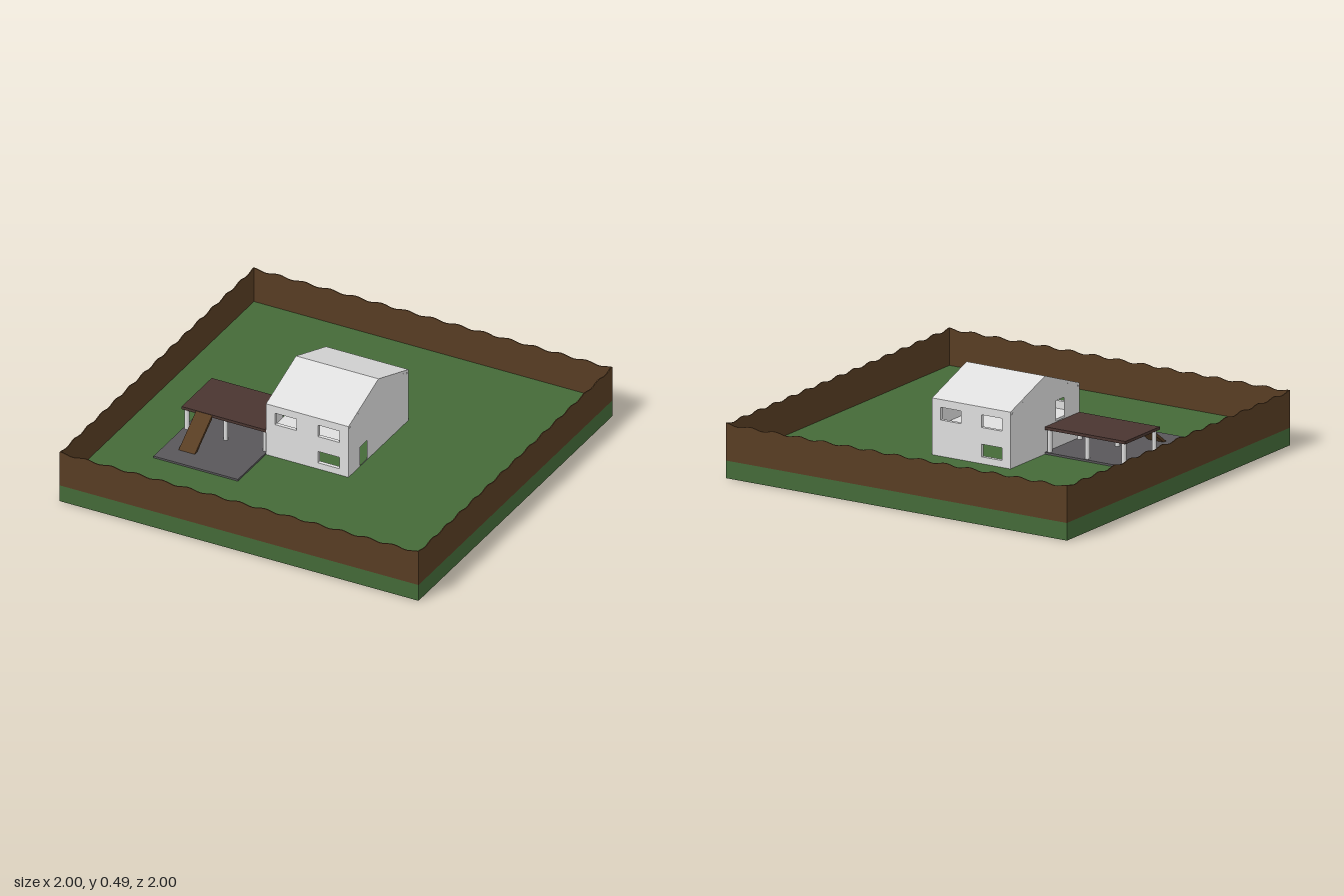
import * as THREE from 'three';

const mat = (name, color) => Object.assign(new THREE.MeshStandardMaterial({ color }), { name });

export function createModel() {
  const grass = mat('grass green', 0x446a38);
  const wood = mat('brown wood', 0x583d23);
  const plaster = mat('light grey plaster', 0xdedede);
  const deckBrown = mat('dark brown deck', 0x4a3530);
  const concrete = mat('dark concrete', 0x59575a);

  const model = new THREE.Group();
  model.name = 'houseInGarden';

  const add = (parent, name, geometry, material) => {
    const mesh = new THREE.Mesh(geometry, material);
    mesh.name = name;
    parent.add(mesh);
    return mesh;
  };
  // Box given by its limits on each axis
  const block = (parent, name, [x0, x1], [y0, y1], [z0, z1], material) => {
    const mesh = add(parent, name, new THREE.BoxGeometry(x1 - x0, y1 - y0, z1 - z0), material);
    mesh.position.set((x0 + x1) / 2, (y0 + y1) / 2, (z0 + z1) / 2);
    return mesh;
  };
  // Upright plate with rectangular openings [u0, u1, y0, y1]
  const plate = (points, openings, depth) => {
    const shape = new THREE.Shape(points.map(([u, y]) => new THREE.Vector2(u, y)));
    for (const [a, b, c, d] of openings) {
      const hole = [[a, c], [a, d], [b, d], [b, c]].map(([u, y]) => new THREE.Vector2(u, y));
      shape.holes.push(new THREE.Path(hole));
    }
    return new THREE.ExtrudeGeometry(shape, { depth, bevelEnabled: false });
  };
  // Plate profiled in (z, y) and extruded from x0 to x0 + depth
  const sidePlate = (parent, name, points, openings, x0, depth, material) => {
    const geometry = plate(points.map(([z, y]) => [-z, y]),
      openings.map(([a, b, c, d]) => [-b, -a, c, d]), depth);
    geometry.rotateY(Math.PI / 2);
    geometry.translate(x0, 0, 0);
    return add(parent, name, geometry, material);
  };

  // Lawn
  block(model, 'lawn', [-1, 1], [0, 0.09], [-1, 1], grass);

  // Fence with a scalloped top, one panel on each side
  const fence = new THREE.Group();
  fence.name = 'fence';
  model.add(fence);
  const outline = [[-1, 0.09], [1, 0.09]];
  const steps = 112;
  for (let i = 0; i <= steps; i++) {
    const u = 1 - (2 * i) / steps;
    outline.push([u, 0.276 + 0.006 * Math.cos(u * Math.PI * 14)]);
  }
  const panel = plate(outline, [], 0.005);
  panel.translate(0, 0, 0.995);
  for (let i = 0; i < 4; i++) {
    add(fence, 'fencePanel', panel, wood).rotation.y = (i * Math.PI) / 2;
  }

  // House shell
  const house = new THREE.Group();
  house.name = 'house';
  model.add(house);
  const wallOutline = [[-0.25, 0.09], [0.21, 0.09], [0.21, 0.365], [-0.25, 0.365]];
  const upper = [[-0.2, -0.08, 0.275, 0.34], [0.04, 0.16, 0.275, 0.34]];
  const frontWall = plate(wallOutline, [...upper, [0.04, 0.16, 0.125, 0.19]], 0.02);
  add(house, 'frontWall', frontWall, plaster).position.z = 0.24;
  const backWall = plate(wallOutline, [...upper, [-0.2, -0.08, 0.125, 0.19]], 0.02);
  add(house, 'backWall', backWall, plaster).position.z = -0.36;

  const gable = [[0.24, 0.09], [0.24, 0.372], [-0.05, 0.475], [-0.34, 0.372], [-0.34, 0.09]];
  sidePlate(house, 'leftGableWall', gable, [[0.07, 0.14, 0.095, 0.2]], 0.19, 0.02, plaster);
  sidePlate(house, 'rightGableWall', gable, [[0.05, 0.12, 0.236, 0.34]], -0.25, 0.02, plaster);
  block(house, 'upperFloor', [-0.23, 0.19], [0.22, 0.235], [-0.34, 0.24], plaster);

  // Pitched roof
  sidePlate(house, 'roof', [[0.26, 0.365], [0.26, 0.38], [-0.05, 0.49], [-0.36, 0.38],
    [-0.36, 0.365], [-0.05, 0.475]], [], -0.25, 0.46, plaster);

  // Raised terrace on posts, above a paved area
  const terrace = new THREE.Group();
  terrace.name = 'terrace';
  model.add(terrace);
  block(terrace, 'paving', [-0.72, -0.25], [0.09, 0.1], [-0.05, 0.55], concrete);
  block(terrace, 'deck', [-0.72, -0.25], [0.215, 0.23], [-0.05, 0.26], deckBrown);
  for (const x of [-0.7, -0.485, -0.265]) {
    for (const z of [-0.03, 0.24]) {
      const post = add(terrace, 'post', new THREE.CylinderGeometry(0.012, 0.012, 0.115, 12), plaster);
      post.position.set(x, 0.1575, z);
    }
  }

  // Ramp from the paving up to the deck
  sidePlate(terrace, 'ramp', [[0.26, 0.228], [0.26, 0.208], [0.415, 0.1], [0.44, 0.1]],
    [], -0.64, 0.09, wood);

  return model;
}
